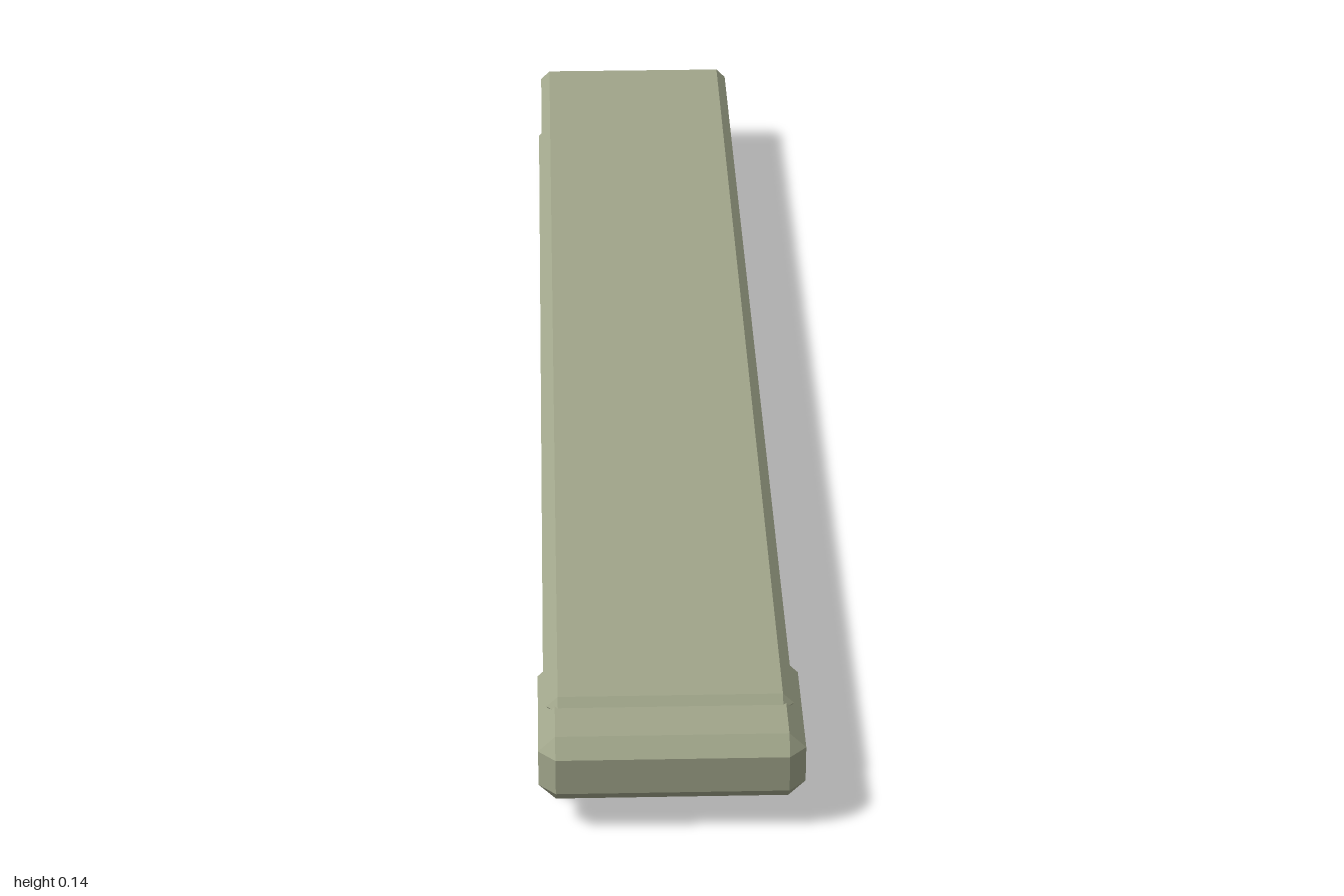
import * as THREE from 'three';
import { ConvexGeometry } from 'three/addons/geometries/ConvexGeometry.js';

// Box given by its limits, with every edge chamfered by b
function chamferBox(halfX, y0, y1, z0, z1, b) {
  const h = [halfX, (y1 - y0) / 2, (z1 - z0) / 2];
  const points = [];
  for (const sx of [-1, 1]) for (const sy of [-1, 1]) for (const sz of [-1, 1]) {
    for (let axis = 0; axis < 3; axis++) {
      const p = h.map((v, i) => (i === axis ? v : v - b));
      points.push(new THREE.Vector3(sx * p[0], sy * p[1], sz * p[2]));
    }
  }
  return new ConvexGeometry(points).translate(0, (y0 + y1) / 2, (z0 + z1) / 2);
}

export function createModel() {
  const group = new THREE.Group();
  const shell = new THREE.MeshStandardMaterial({ color: 0xa0a58a });
  shell.name = 'grey green';
  const brown = new THREE.MeshStandardMaterial({ color: 0x8a7a58 });
  brown.name = 'brown';

  const add = (name, geometry, material) => {
    const mesh = new THREE.Mesh(geometry, material);
    mesh.name = name;
    group.add(mesh);
  };

  // Two long plates with pointed edges
  add('bottomPlate', chamferBox(0.158, 0, 0.04, -1, 0.935, 0.0195), shell);
  add('topPlate', chamferBox(0.153, 0.11, 0.138, -0.995, 0.92, 0.0138), shell);

  // Chunky cap joining the plates at the front
  add('frontCap', chamferBox(0.164, 0.037, 0.128, 0.79, 1, 0.021), shell);

  // Narrow rod along the middle of the gap
  const rod = new THREE.CylinderGeometry(0.011, 0.011, 1.5, 8);
  rod.rotateX(Math.PI / 2).translate(0, 0.085, 0.1);
  add('centreRod', rod.toNonIndexed(), brown);

  // Tapered block under the rear of the top plate
  const block = [];
  for (const [z, bottom] of [[-0.63, 0.045], [-0.895, 0.057]]) {
    for (const s of [-1, 1]) {
      block.push(new THREE.Vector3(s * 0.014, 0.112, z));
      block.push(new THREE.Vector3(s * 0.02, 0.094, z));
      block.push(new THREE.Vector3(s * 0.014, bottom, z));
    }
  }
  add('rearBlock', new ConvexGeometry(block), shell);

  return group;
}
